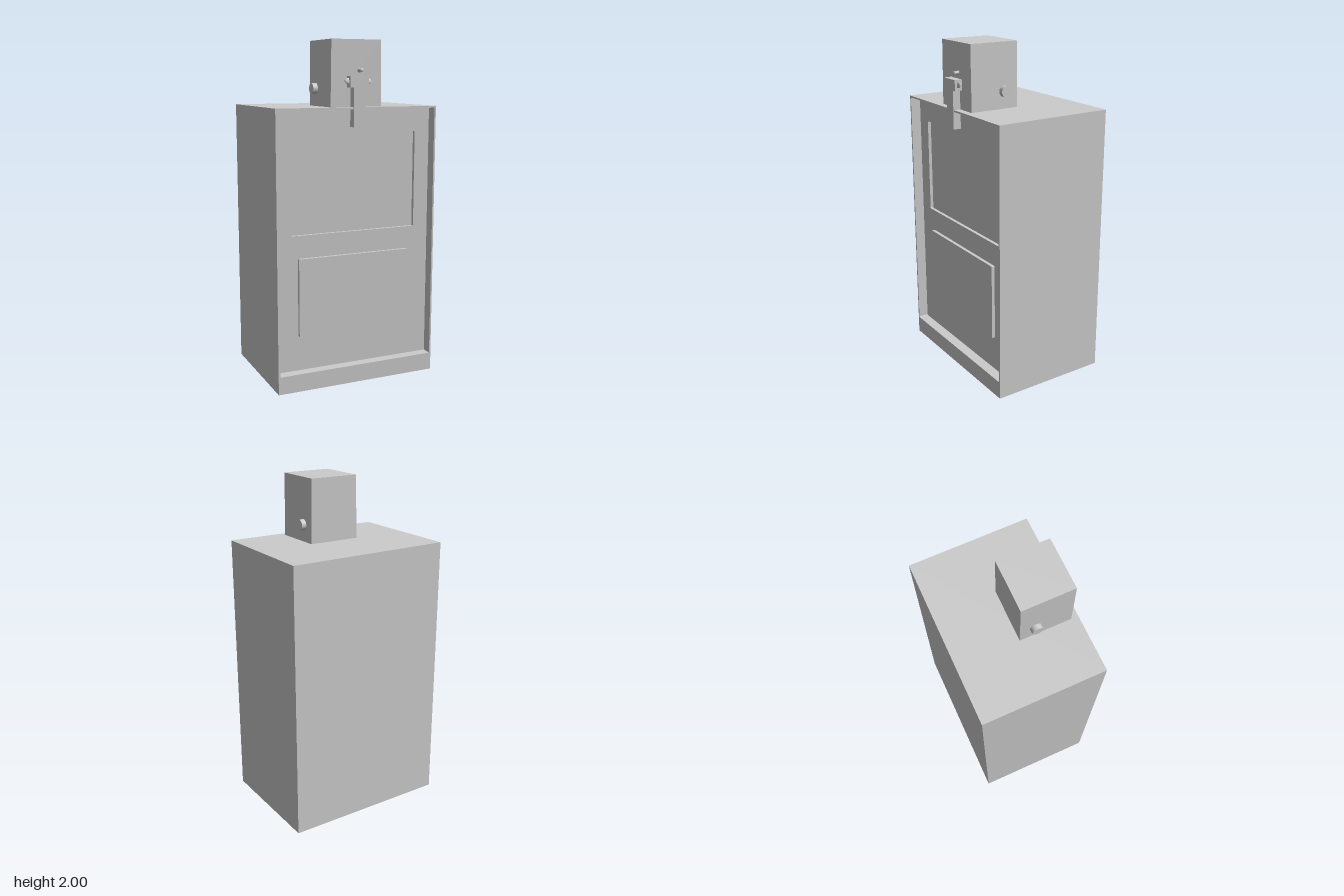
import * as THREE from 'three';

const grey = new THREE.MeshStandardMaterial({ color: 0xcccccc, side: THREE.DoubleSide, flatShading: true });
const smooth = new THREE.MeshStandardMaterial({ color: 0xcccccc, side: THREE.DoubleSide });

const W = 0.5, H = 1.625, BACK = -0.362, FRONT = 0.358, DOOR = 0.296;

// Rectangle outline with small rounded corners
function rect(x, y0, y1, r = 0.006) {
  const s = new THREE.Shape();
  s.moveTo(-x + r, y0);
  s.lineTo(x - r, y0); s.quadraticCurveTo(x, y0, x, y0 + r);
  s.lineTo(x, y1 - r); s.quadraticCurveTo(x, y1, x - r, y1);
  s.lineTo(-x + r, y1); s.quadraticCurveTo(-x, y1, -x, y1 - r);
  s.lineTo(-x, y0 + r); s.quadraticCurveTo(-x, y0, -x + r, y0);
  return s;
}

function square(x, y0, y1) {
  return new THREE.Shape([[-x, y0], [x, y0], [x, y1], [-x, y1]].map(p => new THREE.Vector2(...p)));
}

export function createModel() {
  const model = new THREE.Group();
  const add = (name, geo, x = 0, y = 0, z = 0, mat = grey) => {
    const m = new THREE.Mesh(geo, mat);
    m.name = name;
    m.position.set(x, y, z);
    model.add(m);
    return m;
  };
  // Flat sheet with optional openings
  const sheet = (name, outline, holes, z) => {
    outline.holes = holes;
    return add(name, new THREE.ShapeGeometry(outline, 4), 0, 0, z);
  };
  // Open wall that follows an outline between two depths
  const rim = (name, outline, z0, z1) => {
    const pts = outline.getPoints(4), pos = [], idx = [];
    pts.forEach((p, i) => {
      pos.push(p.x, p.y, z0, p.x, p.y, z1);
      const a = 2 * i, b = 2 * ((i + 1) % pts.length);
      idx.push(a, b, b + 1, a, b + 1, a + 1);
    });
    const g = new THREE.BufferGeometry();
    g.setAttribute('position', new THREE.Float32BufferAttribute(pos, 3));
    g.setIndex(idx);
    g.computeVertexNormals();
    add(name, g);
  };

  // Cabinet shell, open underneath
  const depth = FRONT - BACK, midZ = (FRONT + BACK) / 2;
  for (const s of [-1, 1]) {
    add(s > 0 ? 'leftWall' : 'rightWall', new THREE.PlaneGeometry(depth, H), s * W, H / 2, midZ)
      .rotation.y = s * Math.PI / 2;
  }
  add('backWall', new THREE.PlaneGeometry(2 * W, H), 0, H / 2, BACK).rotation.y = Math.PI;
  add('cabinetTop', new THREE.PlaneGeometry(2 * W, depth), 0, H, midZ).rotation.x = -Math.PI / 2;

  // Front frame and its recess
  const opening = () => rect(0.49, 0.105, 1.614);
  sheet('frontFrame', square(W, 0, H), [opening()], FRONT);
  rim('frameRecess', opening(), FRONT, DOOR);

  // Door with a sunken window and a raised lower panel
  const windowRect = () => rect(0.395, 0.905, 1.475);
  const panelRect = () => rect(0.353, 0.312, 0.772);
  sheet('door', opening(), [windowRect(), panelRect()], DOOR);
  rim('windowRim', windowRect(), DOOR, DOOR - 0.02);
  sheet('window', windowRect(), [], DOOR - 0.02);
  rim('lowerPanelRim', panelRect(), DOOR, DOOR + 0.02);
  sheet('lowerPanel', panelRect(), [], DOOR + 0.02);

  // Coin box, slightly wider at its foot
  const box = new THREE.BoxGeometry(0.306, 0.375, 0.306);
  const p = box.attributes.position;
  for (let i = 0; i < p.count; i++) {
    if (p.getY(i) < 0) p.setX(i, Math.sign(p.getX(i)) * 0.158);
  }
  box.computeVertexNormals();
  add('coinBox', box, 0, 1.8125, 0.163);

  // Round locks on both sides
  for (const s of [-1, 1]) {
    add(s > 0 ? 'leftLock' : 'rightLock', new THREE.CylinderGeometry(0.032, 0.032, 0.035, 32),
      s * 0.168, 1.725, 0.1, smooth).rotation.z = Math.PI / 2;
  }

  // T-shaped latch plate hanging over the door
  const latch = new THREE.Shape([
    [-0.036, 1.513], [0.036, 1.513], [0.036, 1.735], [0.058, 1.735],
    [0.058, 1.797], [-0.058, 1.797], [-0.058, 1.735], [-0.036, 1.735],
  ].map(q => new THREE.Vector2(...q)));
  add('latch', new THREE.ExtrudeGeometry(latch, { depth: 0.047, bevelEnabled: false }), 0, 0, 0.315);

  // Small rounded ears on the latch
  for (const s of [-1, 1]) {
    const ear = add(s > 0 ? 'leftEar' : 'rightEar', new THREE.SphereGeometry(1, 16, 10),
      s * 0.058, 1.769, 0.341, smooth);
    ear.scale.set(0.026, 0.018, 0.007);
    ear.rotation.x = -0.2;
  }

  // Coin return pin with a flared base
  const pin = [[0.014, 0], [0.009, 0.007], [0.009, 0.024], [0.012, 0.027], [0.012, 0.033], [0, 0.035]]
    .map(q => new THREE.Vector2(...q));
  add('pin', new THREE.LatheGeometry(pin, 20), 0.02, 1.83, 0.315, smooth).rotation.x = Math.PI / 2;

  return model;
}
